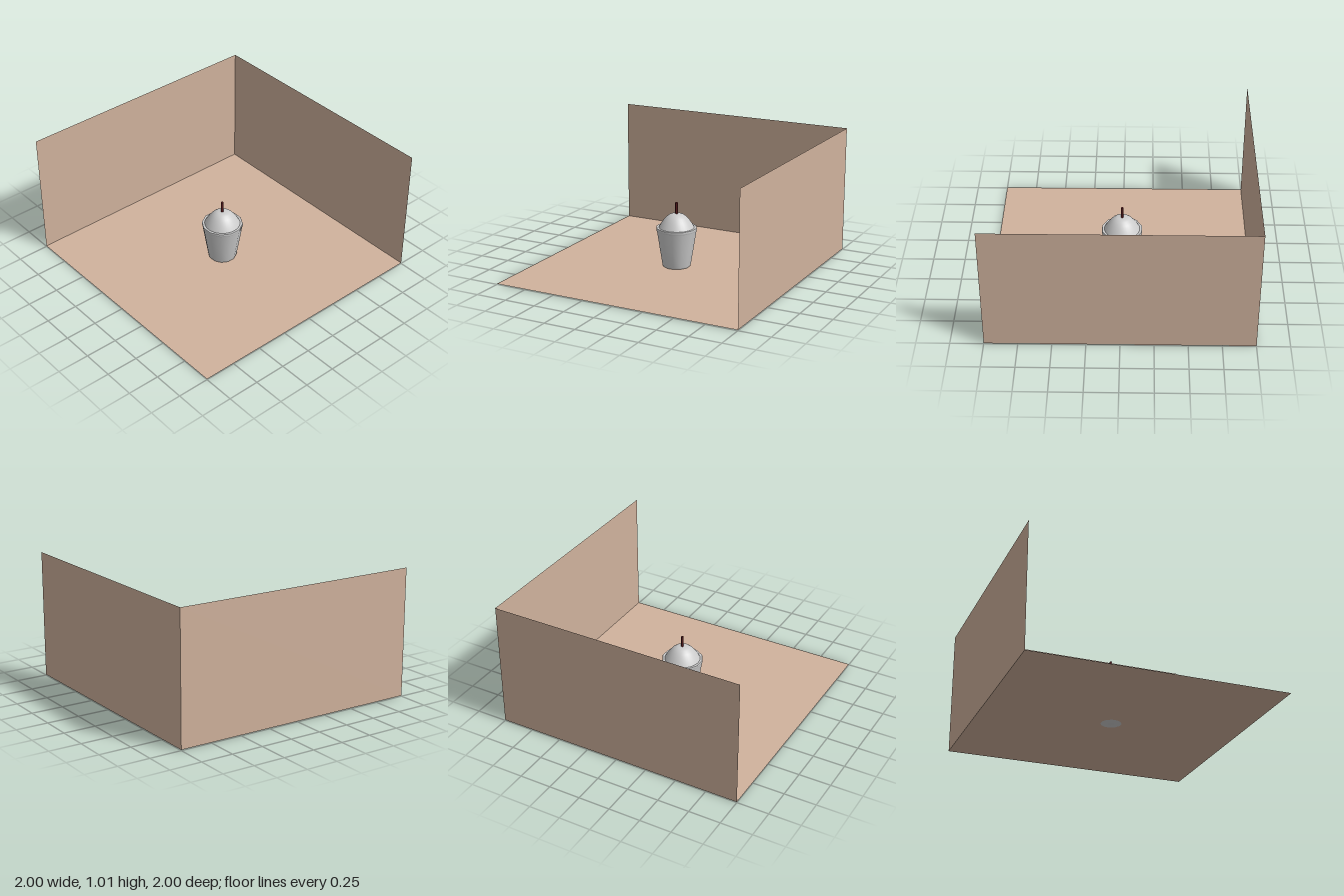
import * as THREE from 'three';

const grey = new THREE.MeshStandardMaterial({ color: 0xcccccc, side: THREE.DoubleSide });
const tan = new THREE.MeshStandardMaterial({ color: 0xd0b29d, side: THREE.DoubleSide });
const darkRed = new THREE.MeshStandardMaterial({ color: 0x5a1c1e });

// Turned part from [radius, height] pairs; turn rotates where the facets start
function turned(name, profile, sides, turn = 0) {
  const points = profile.map(([r, y]) => new THREE.Vector2(r, y));
  const mesh = new THREE.Mesh(new THREE.LatheGeometry(points, sides, turn), grey);
  mesh.name = name;
  return mesh;
}

function panel(name, width, height, position, rotation) {
  const mesh = new THREE.Mesh(new THREE.PlaneGeometry(width, height), tan);
  mesh.name = name;
  mesh.position.set(...position);
  mesh.rotation.set(...rotation);
  return mesh;
}

export function createModel() {
  const model = new THREE.Group();
  const floorY = 0.005, wallHeight = 1.005;
  const wallY = floorY + wallHeight / 2;

  // Floor and two walls meeting in the back corner
  model.add(
    panel('floor', 2, 2, [0, floorY, 0], [-Math.PI / 2, 0, 0]),
    panel('backWall', 2, wallHeight, [0, wallY, -1], [0, 0, 0]),
    panel('sideWall', 2, wallHeight, [-1, wallY, 0], [0, Math.PI / 2, 0]),
  );

  const drink = new THREE.Group();
  drink.name = 'drink';
  const facetTurn = Math.PI / 12;

  // Faceted cup with a slightly domed base that dips through the floor
  drink.add(turned('cupBase', [[0, 0], [0.055, 0.001], [0.08, 0.005], [0.106, 0.008]], 12, facetTurn));
  drink.add(turned('cupWall', [[0.106, 0.008], [0.113, 0.02], [0.135, 0.155], [0.153, 0.27], [0.158, 0.3]], 12, facetTurn));

  // Lid: skirt, flat ledge and dome
  drink.add(turned('lidSkirt', [[0.158, 0.3], [0.161, 0.308], [0.161, 0.318], [0.159, 0.322]], 12, facetTurn));
  drink.add(turned('lidLedge', [[0.159, 0.322], [0.13, 0.322]], 12, facetTurn));
  drink.add(turned('lidDome', [
    [0.138, 0.322], [0.124, 0.347], [0.104, 0.376], [0.083, 0.401],
    [0.06, 0.42], [0.035, 0.43], [0, 0.432],
  ], 32));

  // Straw standing in the middle of the dome
  const straw = new THREE.Mesh(new THREE.CylinderGeometry(0.01, 0.01, 0.22, 12), darkRed);
  straw.name = 'straw';
  straw.position.y = 0.41;
  drink.add(straw);

  model.add(drink);
  return model;
}
